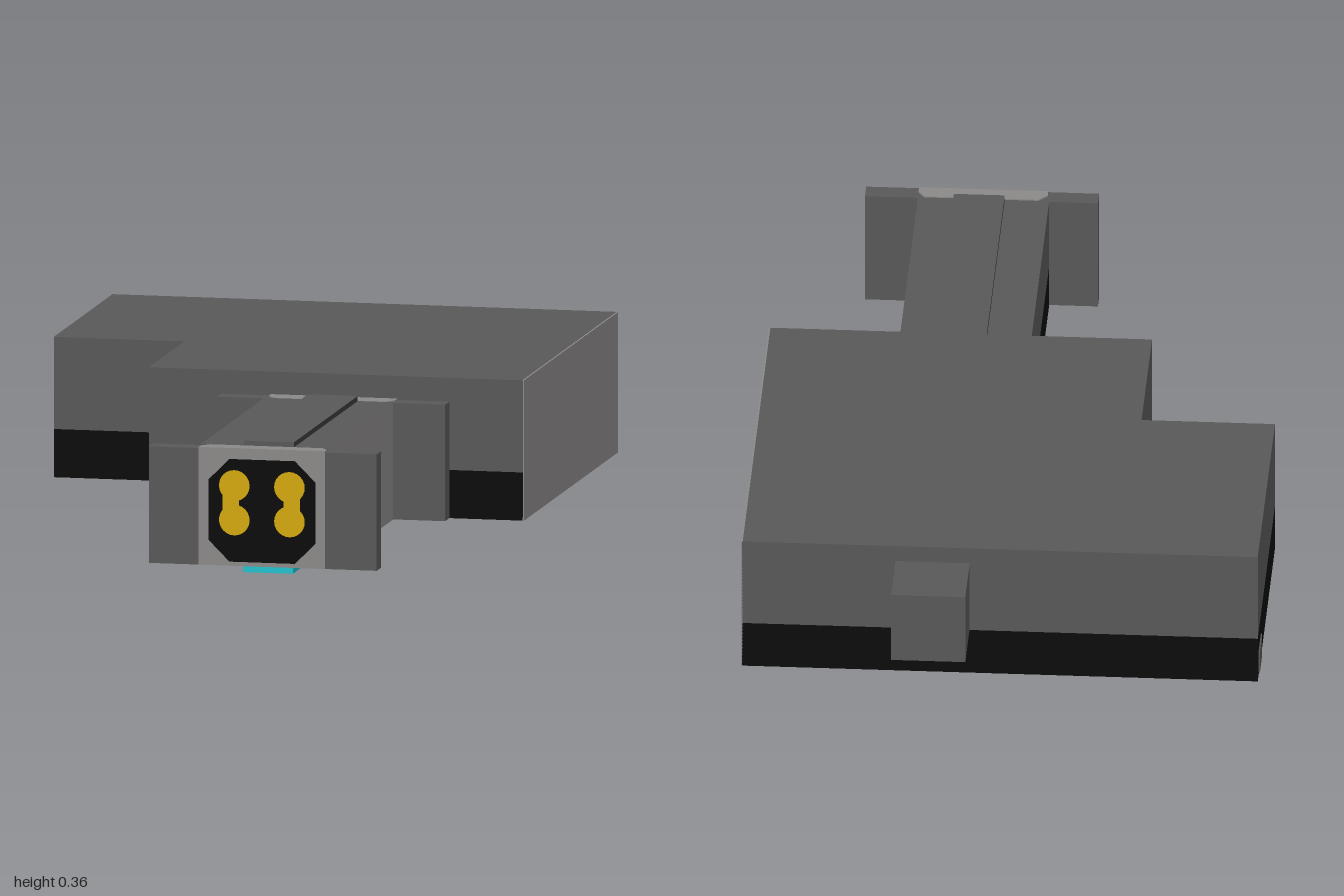
import * as THREE from 'three';

const mat = (name, color) => Object.assign(new THREE.MeshStandardMaterial({ color }), { name });

export function createModel() {
  const gray = mat('wall gray', 0x585858);
  const light = mat('light gray', 0x8b8888);
  const dark = mat('dark gray', 0x3a3a3a);
  const black = mat('black', 0x0c0c0c);
  const yellow = mat('lamp yellow', 0xd3a810);
  const cyan = mat('strip cyan', 0x22c0cc);
  const model = new THREE.Group();

  const add = (name, geometry, material) => {
    const mesh = new THREE.Mesh(geometry, material);
    mesh.name = name;
    model.add(mesh);
    return mesh;
  };
  // Box from its limits; a material array runs +x, -x, +y, -y, +z, -z
  const box = (name, [x0, x1], [y0, y1], [z0, z1], material) => {
    const g = new THREE.BoxGeometry(x1 - x0, y1 - y0, z1 - z0);
    g.translate((x0 + x1) / 2, (y0 + y1) / 2, (z0 + z1) / 2);
    return add(name, g, material);
  };
  const polygon = (points) => new THREE.Shape(points.map(([x, y]) => new THREE.Vector2(x, y)));
  // Plan outline given as x, z and raised from y0 to y1
  const raise = (name, plan, y0, y1, material) => {
    const g = new THREE.ExtrudeGeometry(polygon(plan.map(([x, z]) => [x, -z])), { depth: y1 - y0, bevelEnabled: false });
    g.rotateX(-Math.PI / 2).translate(0, y0, 0);
    return add(name, g, material);
  };

  // Main hall: L-shaped plan with a black band round its foot
  const plan = [[-0.61, -0.19], [-0.295, -0.19], [-0.295, 0.2], [0.608, 0.2], [0.608, -0.835], [-0.61, -0.835]];
  raise('hallBase', plan, 0.02, 0.135, [gray, black]);
  raise('hallUpper', plan, 0.135, 0.355, gray);
  box('hallSidePanel', [0.606, 0.61], [0.02, 0.355], [-0.835, 0.2], light);
  box('sideHatch', [-0.613, -0.609], [0.025, 0.085], [-0.8, -0.72], gray);
  box('rearBlock', [0.07, 0.245], [0.14, 0.315], [-1, -0.834], gray);

  // Corridor with its raised roof strip and glowing floor strip
  box('corridorBase', [-0.005, 0.305], [0.02, 0.125], [0.25, 0.95], [light, black, gray, dark, gray, gray]);
  box('corridorUpper', [-0.005, 0.305], [0.125, 0.3], [0.25, 0.95], [light, gray, gray, gray, gray, gray]);
  box('roofStrip', [0.1, 0.22], [0.3, 0.312], [0.25, 0.95], [dark, dark, gray, dark, gray, gray]);
  box('floorStrip', [0.1, 0.22], [0, 0.02], [0.25, 0.962], [cyan, cyan, dark, dark, cyan, cyan]);

  // Flanges at both corridor ends, each with a light trim on top
  for (const [z0, z1, wide, narrow] of [[0.2, 0.25, 0.2, 0.25], [0.95, 1, 0.997, 0.953]]) {
    box('flange', [-0.12, 0.43], [0.02, 0.298], [z0, z1 - 0.003], gray);
    const trim = [[0, wide], [0, (wide + narrow) / 2], [0.02, narrow], [0.29, narrow], [0.305, (wide + narrow) / 2], [0.305, wide]];
    raise('flangeTrim', trim, 0.297, 0.301, light);
  }

  // Doorway: light frame, black octagonal door, yellow lamps
  const plate = (name, shape, z, material) => add(name, new THREE.ShapeGeometry(shape, 12).translate(0, 0, z), material);
  box('doorFrame', [0, 0.305], [0.02, 0.298], [0.99, 0.998], light);
  const [l, r, b, t, c] = [0.025, 0.283, 0.03, 0.275, 0.05];
  plate('door', polygon([[l + c, b], [r - c, b], [r, b + c], [r, t - c], [r - c, t], [l + c, t], [l, t - c], [l, b + c]]), 0.999, black);
  for (const [x, linkX] of [[0.087, 0.078], [0.22, 0.226]]) {
    for (const y of [0.13, 0.212]) {
      const lamp = new THREE.Shape();
      lamp.absarc(x, y, 0.037, 0, Math.PI * 2);
      plate('lamp', lamp, 1, yellow);
    }
    plate('lampLink', polygon([[linkX - 0.02, 0.15], [linkX + 0.02, 0.15], [linkX + 0.02, 0.19], [linkX - 0.02, 0.19]]), 0.9998, yellow);
  }
  return model;
}
